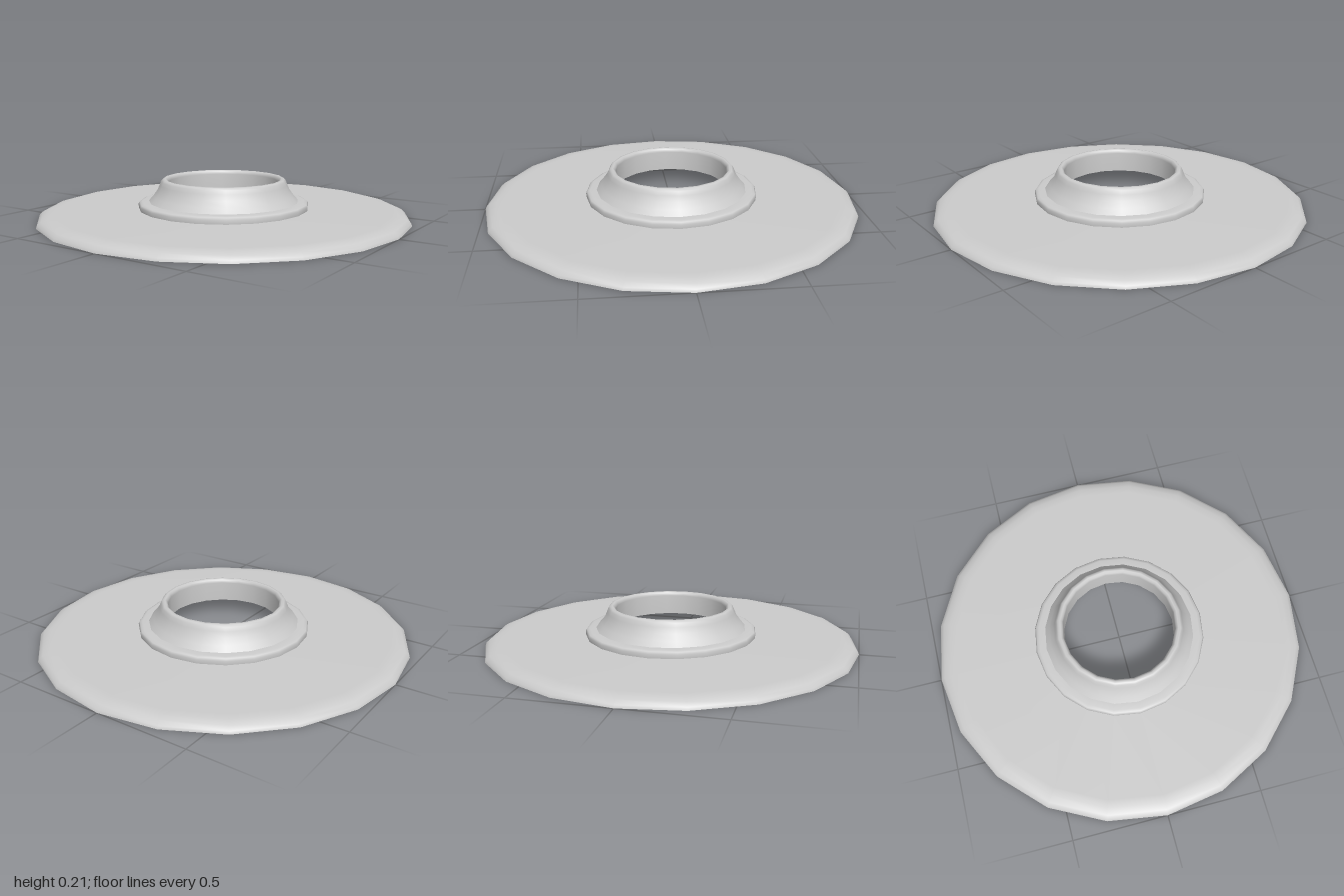
import * as THREE from 'three';

const SIDES = 20;

// Revolves a [radius, height] profile into a thin smooth sheet
function ring(name, profile, material) {
  const points = profile.map(([r, y]) => new THREE.Vector2(r, y));
  const mesh = new THREE.Mesh(new THREE.LatheGeometry(points, SIDES), material);
  mesh.name = name;
  return mesh;
}

export function createModel() {
  const group = new THREE.Group();
  group.name = 'flangedRing';
  const material = new THREE.MeshStandardMaterial({ color: 0xcccccc, side: THREE.DoubleSide });

  // Wide plate with a rounded, turned-down rim
  group.add(ring('basePlate', [
    [1, 0], [0.995, 0.014], [0.975, 0.031], [0.94, 0.041], [0.9, 0.043], [0.46, 0.048],
  ], material));

  // Low step around the neck
  group.add(ring('collar', [
    [0.46, 0.048], [0.462, 0.07], [0.455, 0.081], [0.44, 0.086], [0.405, 0.087],
  ], material));

  // Flared neck, rolled lip and the bore wall inside it
  group.add(ring('neck', [
    [0.405, 0.087], [0.38, 0.115], [0.358, 0.145], [0.345, 0.175], [0.337, 0.195],
    [0.328, 0.205], [0.315, 0.207], [0.305, 0.2], [0.3, 0.185], [0.3, 0.08],
  ], material));

  return group;
}
